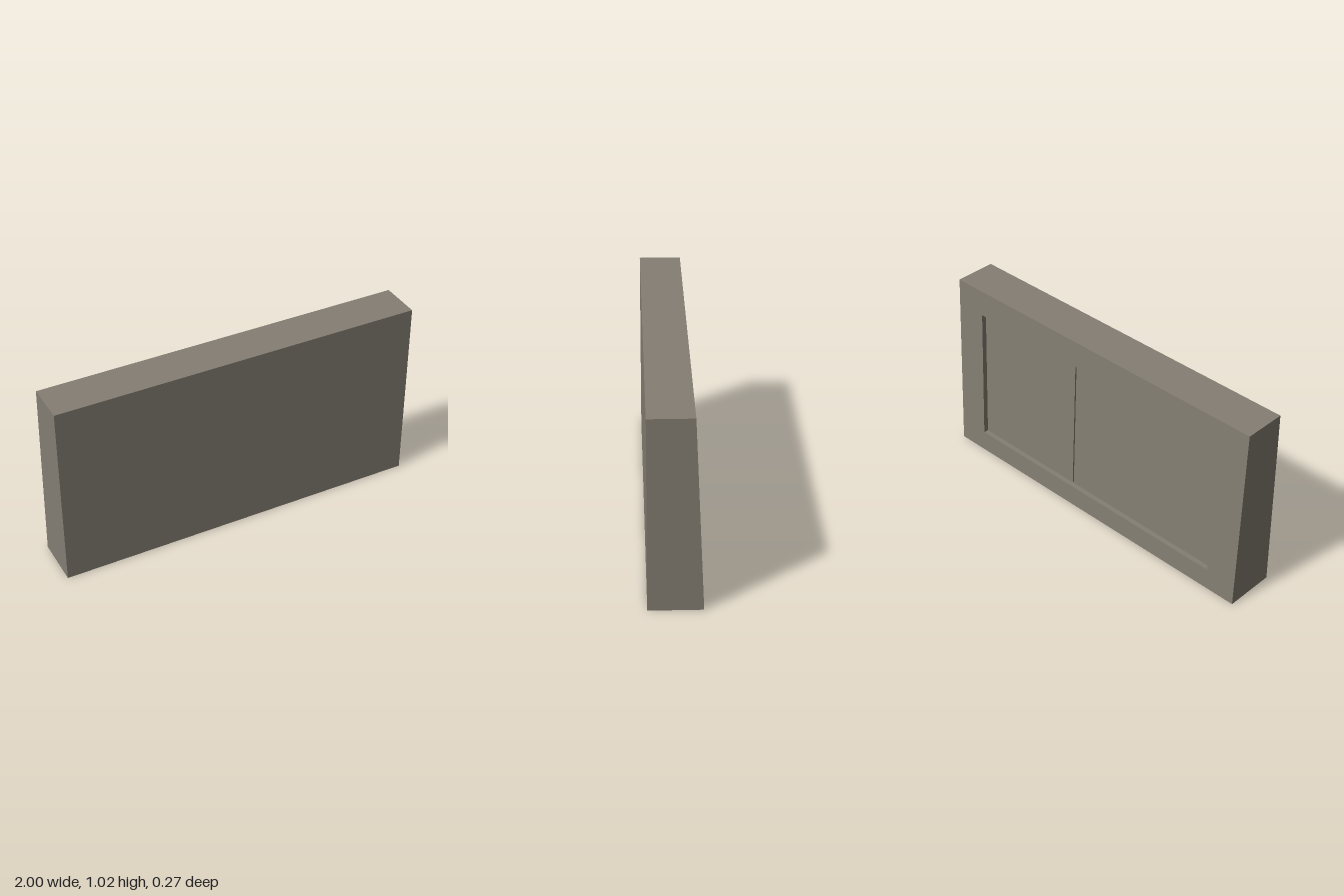
import * as THREE from 'three';

const HEIGHT = 1.025, FRONT = 0.136, BACK_BOTTOM = -0.136, BACK_TOP = -0.09;
const FLOOR = 0.03;   // depth of the recess floor
const INSET = 0.02;   // depth of the panel faces
const GAP = 0.008;    // groove around the panels

// z of the sloping back face at height y
const backZ = y => BACK_BOTTOM + (BACK_TOP - BACK_BOTTOM) * y / HEIGHT;

const rect = (Kind, x0, x1, y0, y1) => new Kind([
  new THREE.Vector2(x0, y0), new THREE.Vector2(x1, y0),
  new THREE.Vector2(x1, y1), new THREE.Vector2(x0, y1),
]);

// Slab between two depths behind the sloping back; no inner depth means up to the flat front
function slab(name, shape, material, outer, inner) {
  const geometry = new THREE.ExtrudeGeometry(shape, { depth: 1, bevelEnabled: false });
  const p = geometry.attributes.position;
  for (let i = 0; i < p.count; i++) {
    const back = backZ(p.getY(i));
    const front = inner === undefined ? FRONT : back + inner;
    p.setZ(i, p.getZ(i) < 0.5 ? back + outer : front);
  }
  geometry.computeVertexNormals();
  const mesh = new THREE.Mesh(geometry, material);
  mesh.name = name;
  return mesh;
}

export function createModel() {
  const group = new THREE.Group();
  group.name = 'slopedBlock';
  const stone = new THREE.MeshStandardMaterial({ color: 0x847e73 });
  stone.name = 'warm grey';

  // Main block with flat front and leaning back
  group.add(slab('block', rect(THREE.Shape, -1, 1, 0, HEIGHT), stone, FLOOR));

  // Border around the rear recess
  const x = 0.825, y0 = 0.117, y1 = 0.88, seam = 0.14;
  const border = rect(THREE.Shape, -1, 1, 0, HEIGHT);
  border.holes.push(rect(THREE.Path, -x, x, y0, y1));
  group.add(slab('rearBorder', border, stone, 0, FLOOR));

  // Two panels set into the recess, split by a narrow groove
  const panels = [
    ['rightPanel', -x + GAP, seam - GAP / 2],
    ['leftPanel', seam + GAP / 2, x - GAP],
  ];
  for (const [name, a, b] of panels) {
    group.add(slab(name, rect(THREE.Shape, a, b, y0 + GAP, y1 - GAP), stone, INSET, FLOOR));
  }
  return group;
}
